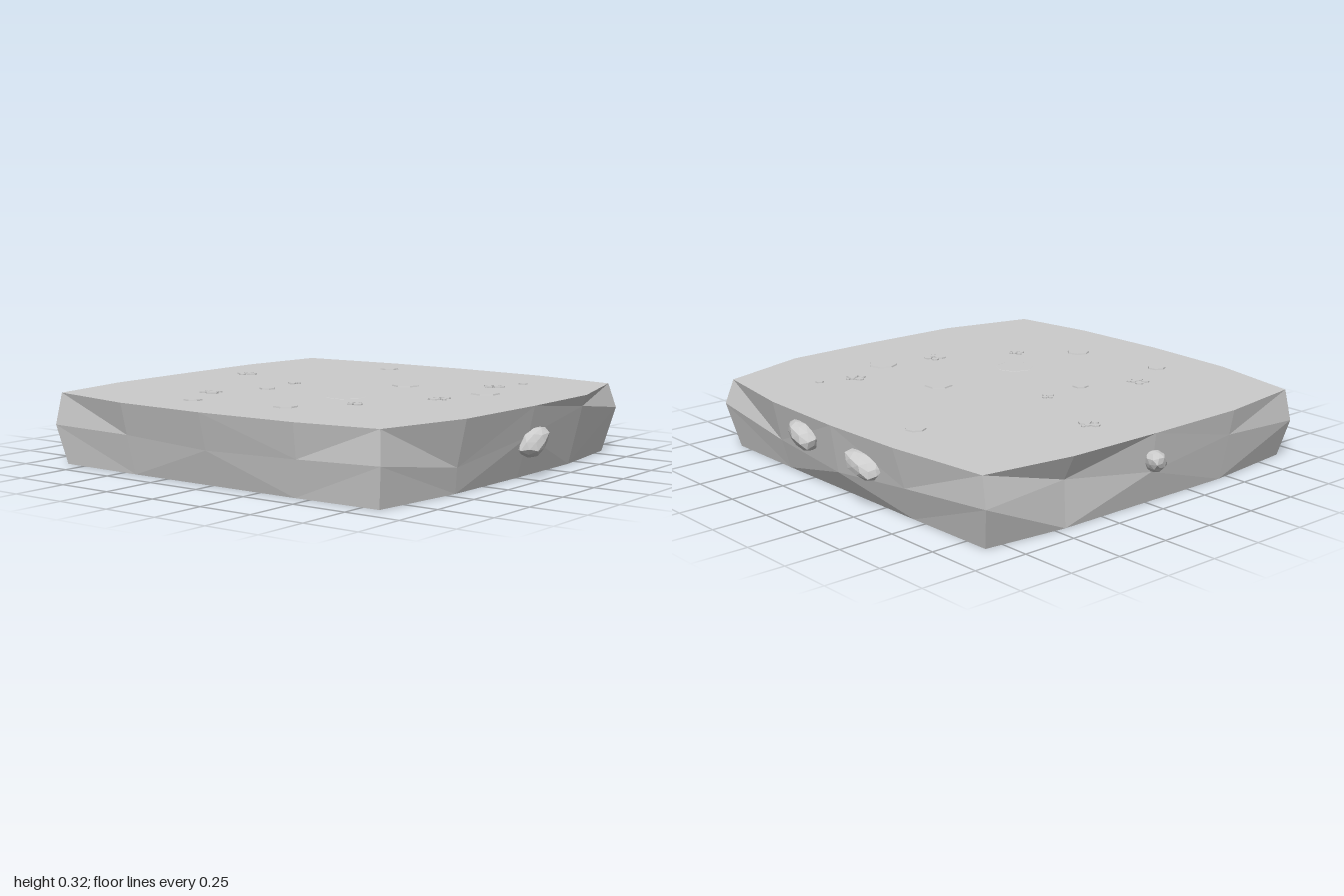
import * as THREE from 'three';

const material = new THREE.MeshStandardMaterial({ color: 0xcccccc, flatShading: true, side: THREE.DoubleSide });
const TOP = 0.31;

// Outlines run back-left > front-left > front-right > back-right.
const topRing = [
  [-0.885, -0.885], [-0.965, -0.45], [-0.98, 0], [-0.96, 0.47],
  [-0.9, 0.84], [-0.48, 0.95], [0, 0.97], [0.43, 0.97],
  [0.845, 0.85], [0.91, 0.44], [0.925, 0], [0.915, -0.4],
  [0.865, -0.885], [0.45, -0.945], [0, -0.95], [-0.48, -0.945],
].map(([x, z]) => [x, TOP, z]);
const middleRing = [
  [-0.905, 0.17, -0.905], [-0.93, 0.17, -0.45], [-0.94, 0.15, 0], [-0.93, 0.16, 0.46],
  [-0.91, 0.17, 0.85], [-0.47, 0.11, 0.9], [0, 0.18, 0.94], [0.43, 0.26, 0.95],
  [0.875, 0.2, 0.875], [0.87, 0.13, 0.44], [0.89, 0.1, 0], [0.88, 0.14, -0.43],
  [0.87, 0.18, -0.91], [0.45, 0.2, -0.89], [0, 0.14, -0.93], [-0.47, 0.2, -0.93],
];
const bottomRing = [
  [-0.89, -0.85], [-0.9, -0.43], [-0.9, 0], [-0.9, 0.43],
  [-0.89, 0.83], [-0.45, 0.88], [0, 0.887], [0.43, 0.885],
  [0.83, 0.83], [0.835, 0.43], [0.835, 0], [0.835, -0.43],
  [0.83, -0.86], [0.45, -0.9], [0, -0.9], [-0.45, -0.9],
].map(([x, z]) => [x, 0, z]);

function addMesh(parent, name, geometry) {
  const mesh = new THREE.Mesh(geometry, material);
  mesh.name = name;
  parent.add(mesh);
  return mesh;
}

function fromTriangles(points) {
  const geometry = new THREE.BufferGeometry();
  geometry.setAttribute('position', new THREE.Float32BufferAttribute(points.flat(), 3));
  geometry.computeVertexNormals();
  return geometry;
}

// Rough side walls joining the three outlines, open underneath
function wallGeometry() {
  const rings = [bottomRing, middleRing, topRing];
  const n = topRing.length;
  const points = [];
  for (let r = 0; r < 2; r++) {
    for (let i = 0; i < n; i++) {
      const j = (i + 1) % n;
      const a = rings[r][i], b = rings[r][j], c = rings[r + 1][j], d = rings[r + 1][i];
      if (i % 2) points.push(a, b, c, a, c, d);
      else points.push(a, b, d, b, c, d);
    }
  }
  return fromTriangles(points);
}

// Flat ground surface
function groundGeometry() {
  const points = [];
  topRing.forEach((p, i) => points.push([0, TOP, 0], p, topRing[(i + 1) % topRing.length]));
  return fromTriangles(points);
}

// Irregular low-poly boulder
function rockGeometry(seed) {
  const geometry = new THREE.IcosahedronGeometry(1, 1);
  const p = geometry.attributes.position;
  const v = new THREE.Vector3();
  for (let i = 0; i < p.count; i++) {
    v.fromBufferAttribute(p, i);
    v.multiplyScalar(0.92 + 0.12 * Math.sin(v.x * 4 + seed) * Math.cos(v.y * 3 - v.z * 2 + seed));
    p.setXYZ(i, v.x, v.y, v.z);
  }
  geometry.computeVertexNormals();
  return geometry;
}

export function createModel() {
  const model = new THREE.Group();
  model.name = 'groundTile';
  addMesh(model, 'sideWalls', wallGeometry());
  addMesh(model, 'groundSurface', groundGeometry());

  // Boulders set in the walls: position, half sizes, tilt
  const rocks = [
    [[0.04, 0.157, 0.94], [0.105, 0.062, 0.062], [0, 0, 0.3]],
    [[0.91, 0.215, 0.215], [0.063, 0.06, 0.1], [-0.35, 0, 0]],
    [[0.91, 0.19, -0.2], [0.068, 0.052, 0.105], [0.35, 0, 0]],
    [[0, 0.165, -0.945], [0.052, 0.048, 0.055], [0, 0, 0.4]],
  ];
  rocks[2][2][0] = -0.3;
  rocks[3][0][1] = 0.192;
  rocks.forEach(([position, size, tilt], i) => {
    const rock = addMesh(model, 'wallRock', rockGeometry(i * 1.7));
    rock.position.set(...position);
    rock.scale.set(...size);
    rock.rotation.set(...tilt);
  });

  // Flat stones barely rising from the ground
  const pebble = (parent, name, x, z, radius, rise = 0.006) => {
    const mesh = addMesh(parent, name, new THREE.CylinderGeometry(radius * 0.93, radius, rise * 2, 7));
    mesh.position.set(x, TOP, z);
    mesh.rotation.y = x * 7 + z * 3;
  };
  [
    [-0.72, -0.265, 0.043], [-0.245, -0.255, 0.038], [0.695, -0.27, 0.047],
    [-0.645, 0.175, 0.055], [0.215, 0.17, 0.066], [0.19, 0.605, 0.068],
    [0.58, 0.56, 0.022],
  ].forEach(([x, z, r]) => pebble(model, 'flatStone', x, z, r));
  pebble(model, 'sunkenStone', -0.245, 0.18, 0.093, 0.001);

  // Clusters of small pebbles: centre, scale, turn
  [
    [0.115, -0.69, 1, 0], [-0.495, -0.375, 1.05, 0.8], [-0.025, -0.285, 0.65, 1.6],
    [-0.42, 0.355, 0.75, 0.4], [-0.065, 0.54, 1.05, 2.2], [0.415, 0.505, 1, 0.2],
  ].forEach(([cx, cz, s, turn]) => {
    const cluster = new THREE.Group();
    cluster.name = 'pebbleCluster';
    model.add(cluster);
    [[0.01, 0.025, 0.028], [-0.025, 0, 0.018], [0, -0.03, 0.02], [0.025, -0.008, 0.014], [0.045, -0.005, 0.01]]
      .forEach(([x, z, r]) => {
        const px = x * Math.cos(turn) - z * Math.sin(turn);
        const pz = x * Math.sin(turn) + z * Math.cos(turn);
        pebble(cluster, 'pebble', cx + px * s, cz + pz * s, r * s);
      });
  });
  return model;
}
